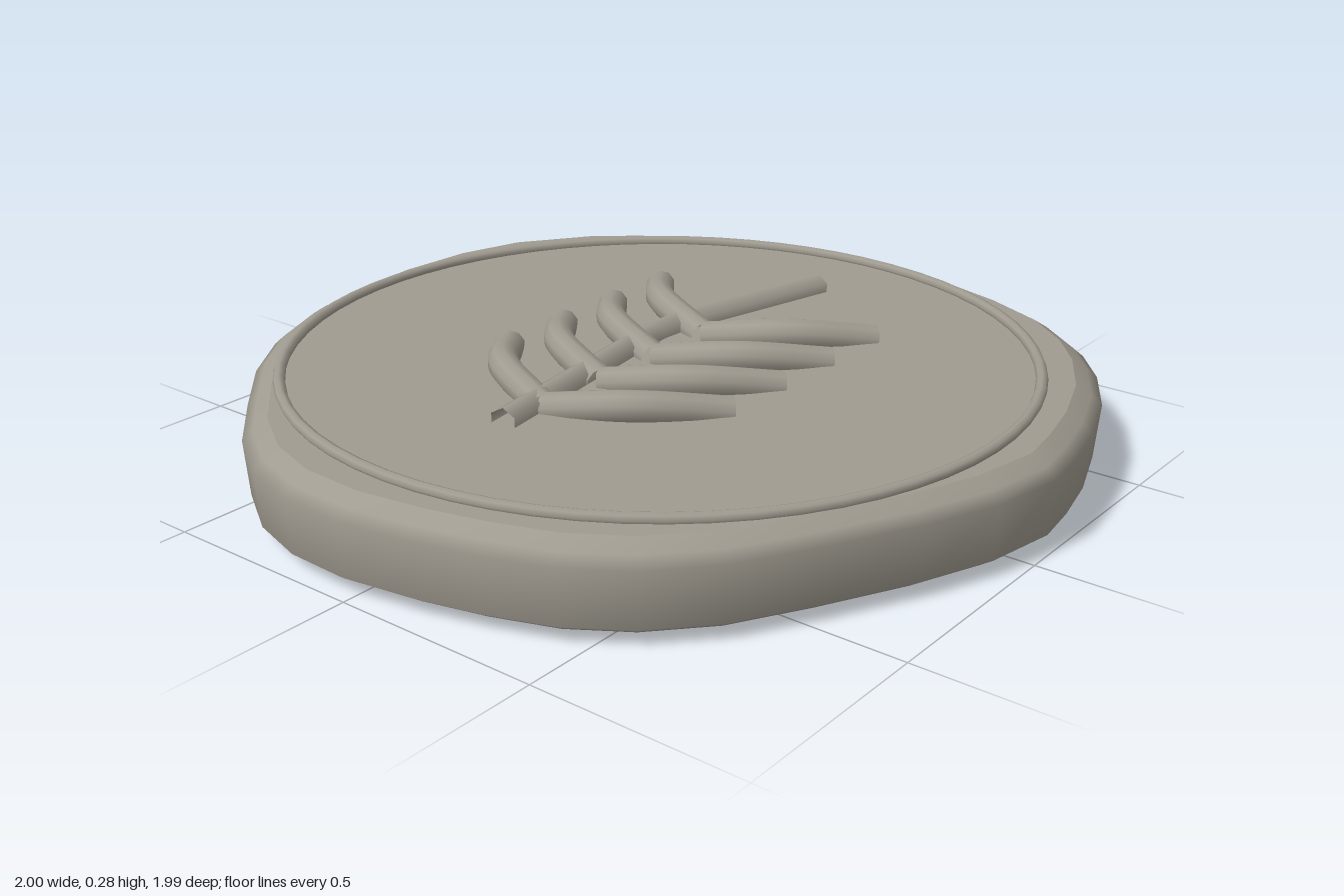
import * as THREE from 'three';

// Uneven outline of the stone as x, z pairs
const OUTLINE = [
  -0.165, -1.0, 0.015, -1.0, 0.30, -0.957, 0.433, -0.92, 0.594, -0.85, 0.717, -0.754,
  0.807, -0.647, 0.893, -0.497, 0.952, -0.33, 0.984, -0.187, 1.0, -0.07, 0.968, 0.107,
  0.90, 0.278, 0.797, 0.48, 0.695, 0.658, 0.578, 0.786, 0.45, 0.87, 0.30, 0.925,
  0.15, 0.963, -0.02, 0.99, -0.18, 0.984, -0.326, 0.94, -0.47, 0.85, -0.62, 0.71,
  -0.77, 0.56, -0.877, 0.41, -0.947, 0.25, -0.98, 0.05, -1.0, -0.107, -0.984, -0.32,
  -0.93, -0.497, -0.80, -0.68, -0.69, -0.775, -0.583, -0.845, -0.45, -0.925, -0.315, -0.98,
];
// Edge profile: outline scale and height
const PROFILE = [[0.91, 0], [0.955, 0.017], [0.99, 0.04], [1, 0.17], [0.975, 0.192], [0.94, 0.215]];
const TOP = 0.215;

export function createModel() {
  const model = new THREE.Group();
  const stone = new THREE.MeshStandardMaterial({ color: 0xa09b90, side: THREE.DoubleSide });
  stone.name = 'stone grey';

  const add = (name, geometry, parent = model) => {
    const mesh = new THREE.Mesh(geometry, stone);
    mesh.name = name;
    parent.add(mesh);
    return mesh;
  };

  // Rounded wall lofted through the scaled outlines
  const n = OUTLINE.length / 2;
  const positions = [];
  const index = [];
  PROFILE.forEach(([s, y], k) => {
    for (let i = 0; i < n; i++) {
      positions.push(OUTLINE[2 * i] * s, y, OUTLINE[2 * i + 1] * s);
      if (k === PROFILE.length - 1) continue;
      const a = k * n + i;
      const b = k * n + ((i + 1) % n);
      index.push(a, a + n, b, b, a + n, b + n);
    }
  });
  const wall = new THREE.BufferGeometry();
  wall.setAttribute('position', new THREE.Float32BufferAttribute(positions, 3));
  wall.setIndex(index);
  wall.computeVertexNormals();
  add('stoneEdge', wall);

  // Flat top and bottom faces
  const face = (name, [s, y], up) => {
    const points = [];
    for (let i = 0; i < n; i++) {
      points.push(new THREE.Vector2(OUTLINE[2 * i] * s, -up * OUTLINE[2 * i + 1] * s));
    }
    const geometry = new THREE.ShapeGeometry(new THREE.Shape(points));
    add(name, geometry.rotateX(-up * Math.PI / 2).translate(0, y, 0));
  };
  face('stoneTop', PROFILE[PROFILE.length - 1], 1);
  face('stoneBottom', PROFILE[0], -1);

  // Raised carving: rim, stem and leaves
  const carving = new THREE.Group();
  carving.name = 'carving';
  carving.position.set(-0.01, TOP, -0.025);
  model.add(carving);

  const rim = new THREE.TorusGeometry(0.882, 0.014, 8, 64).rotateX(-Math.PI / 2);
  add('rim', rim, carving).position.y = 0.006;

  const v = (x, y, z) => new THREE.Vector3(x, y, z);
  const stemPath = new THREE.CurvePath();
  const stemPoints = [v(-0.005, 0.005, 0.535), v(-0.095, 0.005, -0.09), v(-0.088, 0.005, -0.19), v(0.02, 0.005, -0.635)];
  for (let i = 0; i < 3; i++) stemPath.add(new THREE.LineCurve3(stemPoints[i], stemPoints[i + 1]));
  add('stem', new THREE.TubeGeometry(stemPath, 24, 0.035, 6), carving);

  // Four pairs of leaves, mirrored about the stem
  for (let row = 0; row < 4; row++) {
    for (const side of [1, -1]) {
      const z = row * 0.193;
      const path = new THREE.CatmullRomCurve3([
        v(0, 0, z - 0.17),
        v(side * 0.185, 0.028, z - 0.245),
        v(side * 0.33, -0.003, z - 0.415),
      ]);
      add(side > 0 ? 'leftLeaf' : 'rightLeaf', new THREE.TubeGeometry(path, 12, 0.037, 10), carving);
    }
  }
  return model;
}
